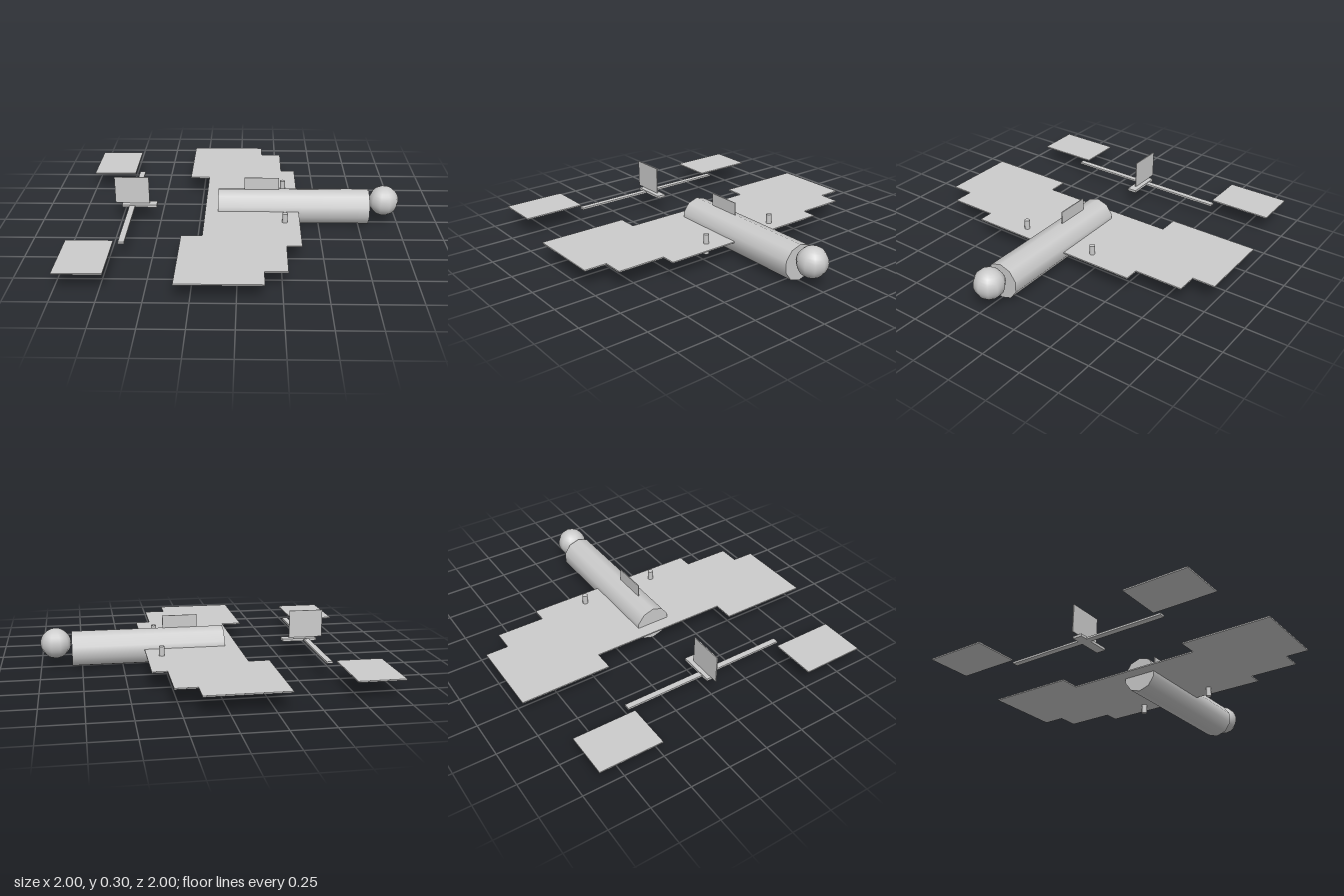
import * as THREE from 'three';

const material = new THREE.MeshStandardMaterial({ color: 0xcccccc });
const PLANE_Y = 0.113; // height of wing, tail and fuselage axis

export function createModel() {
  const model = new THREE.Group();
  const add = (name, geometry, x, y, z) => {
    const mesh = new THREE.Mesh(geometry, material);
    mesh.name = name;
    mesh.position.set(x, y, z);
    model.add(mesh);
    return mesh;
  };
  // Box given by its extents along each axis
  const slab = (name, [x0, x1], [y0, y1], [z0, z1]) =>
    add(name, new THREE.BoxGeometry(x1 - x0, y1 - y0, z1 - z0),
      (x0 + x1) / 2, (y0 + y1) / 2, (z0 + z1) / 2);

  // Ten-sided fuselage lying along x, with a corner on top
  const body = new THREE.CylinderGeometry(0.111, 0.111, 0.94, 10);
  body.rotateZ(-Math.PI / 2).rotateX(Math.PI / 2);
  add('fuselage', body, 0.34, 0.112, 0);

  // Ball nose
  add('nose', new THREE.SphereGeometry(0.093, 10, 16), 0.907, 0.152, 0);

  // Stepped wing: half outline (x, z), mirrored to the other side
  const half = [[0.37, 0.56], [0.28, 0.56], [0.28, 0.86], [0.15, 0.86],
    [0.15, 1], [-0.335, 1], [-0.335, 0.44], [-0.21, 0.44]];
  const outline = [...half, ...half.map(([x, z]) => [x, -z]).reverse()];
  const wing = new THREE.ExtrudeGeometry(
    new THREE.Shape(outline.map(([x, z]) => new THREE.Vector2(x, z))),
    { depth: 0.008, bevelEnabled: false });
  wing.translate(0, 0, -0.004).rotateX(-Math.PI / 2);
  add('wing', wing, 0, PLANE_Y, 0);

  // Fins
  slab('bodyFin', [0.033, 0.248], [0.125, 0.3], [-0.003, 0.003]);
  slab('tailFin', [-0.782, -0.567], [0.125, 0.3], [-0.003, 0.003]);

  // Tail cross
  slab('tailBlock', [-0.738, -0.52], [0.107, 0.123], [-0.03, 0.03]);
  slab('tailBar', [-0.692, -0.656], [0.107, 0.119], [-0.532, 0.532]);

  // Paired parts
  for (const [side, s] of [['left', -1], ['right', 1]]) {
    add(side + 'Engine', new THREE.CylinderGeometry(0.017, 0.017, 0.125, 10), 0.28, PLANE_Y, s * 0.25);
    add(side + 'TailPlate', new THREE.BoxGeometry(0.278, 0.008, 0.39), -0.861, PLANE_Y, s * 0.702);
  }
  return model;
}
